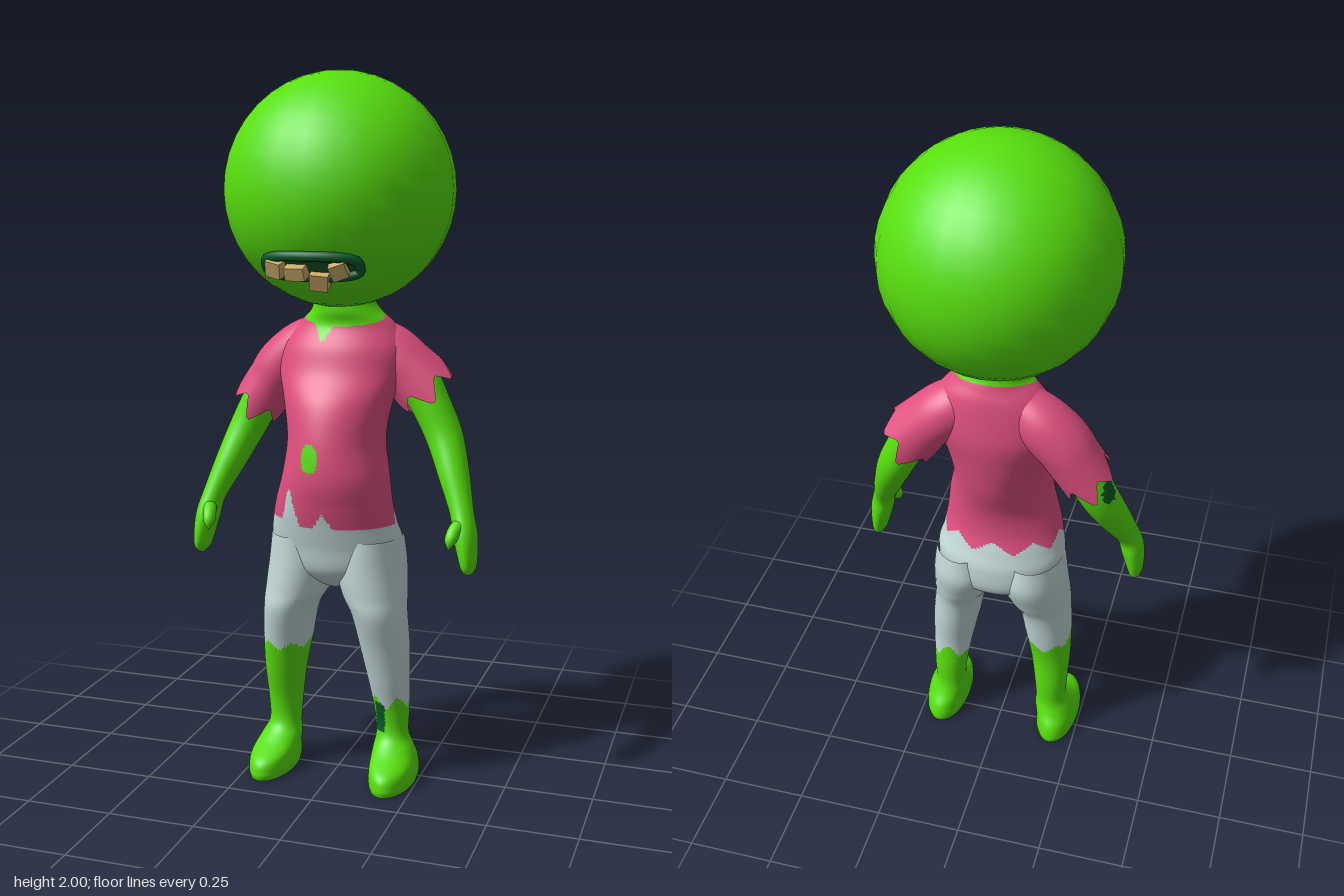
import * as THREE from 'three';

const mat = (name, color) => Object.assign(new THREE.MeshStandardMaterial({ color }), { name });
const skin = mat('green skin', 0x58e00e);
const shirt = mat('pink shirt', 0xe0507f);
const trousers = mat('grey trousers', 0xc3d8d8);
const dark = mat('dark green', 0x08592a);
const tooth = mat('tooth', 0xcfae6c);
const cloth = mat('sleeve pink', 0xe0507f);
cloth.side = THREE.DoubleSide;

const Z = new THREE.Vector3(0, 0, 1);
const DOWN = new THREE.Vector3(0, -1, 0);

// triangle wave from 0 to 1, n teeth around a full turn
const zig = (angle, n, shift = 0) => {
  const u = (((angle / (Math.PI * 2)) * n + shift) % 1 + 1) % 1;
  return 1 - Math.abs(2 * u - 1);
};

// Smooth loft through rings [x, y, z, rx, rz], listed from top to bottom.
// paint(point, angle) picks the material of every face; angle 0 is the front, growing to +x.
function loft(name, keys, mats, paint, { rows = 60, segs = 64, level = true, jag = 0 } = {}) {
  const path = new THREE.CatmullRomCurve3(keys.map(k => new THREE.Vector3(k[0], k[1], k[2])), false, 'catmullrom');
  const size = new THREE.CatmullRomCurve3(keys.map(k => new THREE.Vector3(k[3], k[4], 0)), false, 'catmullrom');
  const pts = [];
  for (let i = 0; i <= rows; i++) {
    const t = i / rows, c = path.getPoint(t), r = size.getPoint(t);
    const T = level ? DOWN : path.getTangent(t);
    const S = new THREE.Vector3().crossVectors(Z, T).normalize();
    const D = new THREE.Vector3().crossVectors(T, S);
    for (let j = 0; j < segs; j++) {
      const a = (j / segs) * Math.PI * 2;
      pts.push(c.clone().addScaledVector(S, r.x * Math.sin(a)).addScaledVector(D, r.y * Math.cos(a))
        .addScaledVector(T, jag * t * t * (zig(a, 6, 0.3) - 0.5 + 0.3 * Math.sin(a * 2 + 1))));
    }
  }
  const lists = mats.map(() => []);
  const add = (a, b, c, ang) => {
    const p = pts[a].clone().add(pts[b]).add(pts[c]).divideScalar(3);
    lists[paint(p, ang)].push(a, b, c);
  };
  for (let i = 0; i < rows; i++) {
    for (let j = 0; j < segs; j++) {
      const k = (j + 1) % segs, ang = ((j + 0.5) / segs) * Math.PI * 2;
      const a = i * segs + j, b = a + segs, c = (i + 1) * segs + k, d = i * segs + k;
      add(a, b, c, ang);
      add(a, c, d, ang);
    }
  }
  const geo = new THREE.BufferGeometry().setFromPoints(pts);
  geo.setIndex(lists.flat());
  let start = 0;
  lists.forEach((l, m) => { geo.addGroup(start, l.length, m); start += l.length; });
  geo.computeVertexNormals();
  const mesh = new THREE.Mesh(geo, mats);
  mesh.name = name;
  return mesh;
}

// neck, shirt and hips in one skin, with torn neckline, hem and belly hole
function makeTorso() {
  const keys = [
    [0.005, 1.46, -0.035, 0.09, 0.085], [0.005, 1.385, -0.035, 0.088, 0.085],
    [0.01, 1.35, -0.04, 0.1, 0.09], [0.01, 1.31, -0.05, 0.14, 0.095],
    [0.005, 1.25, -0.04, 0.175, 0.115], [0, 1.18, -0.03, 0.18, 0.13],
    [0, 1.1, 0, 0.155, 0.15], [0.003, 1.0, 0.025, 0.138, 0.155],
    [0.007, 0.9, 0.045, 0.152, 0.145], [0, 0.82, 0.04, 0.168, 0.135],
    [-0.003, 0.76, 0.025, 0.18, 0.135], [0, 0.7, 0.01, 0.19, 0.135],
    [0, 0.62, 0.005, 0.165, 0.12], [0, 0.57, 0.01, 0.04, 0.05], [0, 0.56, 0.01, 0.005, 0.01],
  ];
  const notch = (x, at, width, height) => Math.max(0, height * (1 - Math.abs(x - at) / width));
  const paint = (p, a) => {
    const front = p.z > 0.03;
    const neck = 1.325 - 0.3 * p.z - (p.z > 0 ? notch(p.x, -0.03, 0.03, 0.04) : 0);
    if (p.y > neck) return 0;
    if (front && Math.hypot((p.x + 0.028) / 0.026, (p.y - 0.96) / 0.04) < 1) return 0;
    const hem = front
      ? 0.76 + notch(p.x, -0.095, 0.03, 0.11) + notch(p.x, 0.005, 0.03, 0.045) + (p.x < -0.1 ? 0.015 : 0)
      : 0.765 + 0.035 * zig(a, 9);
    return p.y > hem ? 1 : 2;
  };
  return loft('torso', keys, [skin, shirt, trousers], paint, { rows: 150, segs: 112 });
}

// trouser leg, torn cuff, shin and foot
function makeLeg(side) {
  const name = side > 0 ? 'left' : 'right';
  const keys = [
    [0.1, 0.72, 0.005, 0.09, 0.125], [0.1, 0.64, 0.003, 0.1, 0.132],
    [0.114, 0.56, 0.018, 0.093, 0.12], [0.132, 0.5, 0.03, 0.078, 0.108],
    [0.146, 0.4, 0.022, 0.071, 0.086], [0.157, 0.3, 0.015, 0.061, 0.065],
    [0.163, 0.2, 0.0, 0.051, 0.052], [0.165, 0.13, 0.0, 0.047, 0.052],
    [0.172, 0.09, 0.015, 0.058, 0.08], [0.18, 0.055, 0.04, 0.064, 0.128],
    [0.182, 0.02, 0.043, 0.066, 0.14], [0.182, 0, 0.043, 0.062, 0.136],
  ].map(k => [k[0] * side, ...k.slice(1)]);
  const paint = (p, a) => {
    const back = p.z < 0 ? -p.z : 0;
    const cuff = side > 0 ? 0.215 + 0.04 * zig(a, 5) + back * 0.9 : 0.375 + 0.025 * zig(a, 6) - back * 0.3;
    if (p.y > cuff) return 1;
    const scar = side > 0 && p.z > 0 && Math.abs(p.x - 0.14) < 0.015 && Math.abs(p.y - 0.185) < 0.045;
    return scar ? 2 : 0;
  };
  const leg = new THREE.Group();
  leg.name = name + 'Leg';
  leg.add(loft(name + 'LegAndFoot', keys, [skin, trousers, dark], paint, { rows: 100, segs: 56 }));
  const sole = new THREE.Mesh(new THREE.CircleGeometry(1, 40), skin);
  sole.name = name + 'Sole';
  sole.rotation.x = Math.PI / 2;
  sole.scale.set(0.062, 0.136, 1);
  sole.position.set(0.182 * side, 0, 0.043);
  leg.add(sole);
  return leg;
}

// bent arm with mitten hand, thumb and ragged sleeve
function makeArm(side) {
  const name = side > 0 ? 'left' : 'right';
  const flip = keys => keys.map(k => [k[0] * side, ...k.slice(1)]);
  const arm = new THREE.Group();
  arm.name = name + 'Arm';
  const keys = flip([
    [0.13, 1.24, -0.07, 0.07, 0.065], [0.2, 1.17, -0.07, 0.065, 0.066],
    [0.25, 1.09, -0.065, 0.056, 0.064], [0.295, 1.0, -0.052, 0.052, 0.06],
    [0.335, 0.9, -0.008, 0.043, 0.052], [0.368, 0.81, 0.036, 0.033, 0.04],
    [0.383, 0.75, 0.052, 0.033, 0.05], [0.393, 0.69, 0.06, 0.026, 0.05],
    [0.397, 0.655, 0.062, 0.018, 0.04], [0.397, 0.636, 0.062, 0.001, 0.002],
  ]);
  const bruise = new THREE.Vector3(-0.34, 1.045, -0.085);
  const paint = p => (p.distanceTo(bruise) < 0.034 ? 1 : 0);
  arm.add(loft(name + 'ArmAndHand', keys, [skin, dark], paint, { rows: 70, segs: 40, level: false }));
  const thumb = flip([
    [0.372, 0.785, 0.06, 0.018, 0.02], [0.362, 0.77, 0.09, 0.019, 0.02],
    [0.355, 0.745, 0.113, 0.016, 0.018], [0.352, 0.722, 0.122, 0.001, 0.001],
  ]);
  arm.add(loft(name + 'Thumb', thumb, [skin], () => 0, { rows: 14, segs: 16, level: false }));
  const reach = side > 0
    ? [[0.24, 1.125, -0.072, 0.088, 0.09]]
    : [[0.225, 1.13, -0.072, 0.078, 0.082], [0.265, 1.07, -0.068, 0.077, 0.082]];
  const sleeve = flip([[0.08, 1.265, -0.06, 0.07, 0.07], [0.135, 1.23, -0.07, 0.078, 0.083],
    [0.19, 1.18, -0.072, 0.08, 0.086], ...reach]);
  arm.add(loft(name + 'Sleeve', sleeve, [cloth], () => 0, { rows: 16, segs: 48, level: false, jag: 0.06 }));
  return arm;
}

// round head with wide lipped mouth and crooked teeth
function makeHead() {
  const head = new THREE.Group();
  head.name = 'head';
  head.position.set(0.003, 1.682, 0);
  const put = (name, geo, material) => {
    const m = new THREE.Mesh(geo, material);
    m.name = name;
    head.add(m);
    return m;
  };
  put('skull', new THREE.SphereGeometry(0.32, 24, 20), skin);
  put('mouthInside', new THREE.SphereGeometry(0.323, 20, 4, Math.PI / 2 - 0.5, 1.0, 2.1, 0.2), dark);
  const rim = [];
  for (let i = 0; i < 24; i++) {
    const a = (i / 24) * Math.PI * 2;
    const x = 0.13 * Math.sign(Math.cos(a)) * Math.abs(Math.cos(a)) ** 0.6;
    const y = -0.192 + 0.028 * Math.sign(Math.sin(a)) * Math.abs(Math.sin(a)) ** 0.6;
    rim.push(new THREE.Vector3(x, y, Math.sqrt(0.325 ** 2 - x * x - y * y)));
  }
  put('lips', new THREE.TubeGeometry(new THREE.CatmullRomCurve3(rim, true), 60, 0.014, 8, true), dark);
  // x, y, width, height, tilt
  const teeth = [[-0.092, 1.487, 0.045, 0.045, -0.1], [-0.033, 1.478, 0.056, 0.036, 0.05],
    [0.024, 1.455, 0.05, 0.045, -0.12], [0.08, 1.485, 0.044, 0.042, 0.25]];
  teeth.forEach(([x, y, w, h, tilt], i) => {
    const t = put('tooth' + (i + 1), new THREE.BoxGeometry(w, h, 0.045), tooth);
    const dy = y - 1.682;
    t.position.set(x, dy, Math.sqrt(0.325 ** 2 - x * x - dy * dy) + 0.008);
    t.rotation.set(0.4, x * 3, tilt);
  });
  return head;
}

export function createModel() {
  const model = new THREE.Group();
  model.name = 'figure';
  model.add(makeHead(), makeTorso());
  for (const side of [1, -1]) model.add(makeArm(side), makeLeg(side));
  return model;
}
